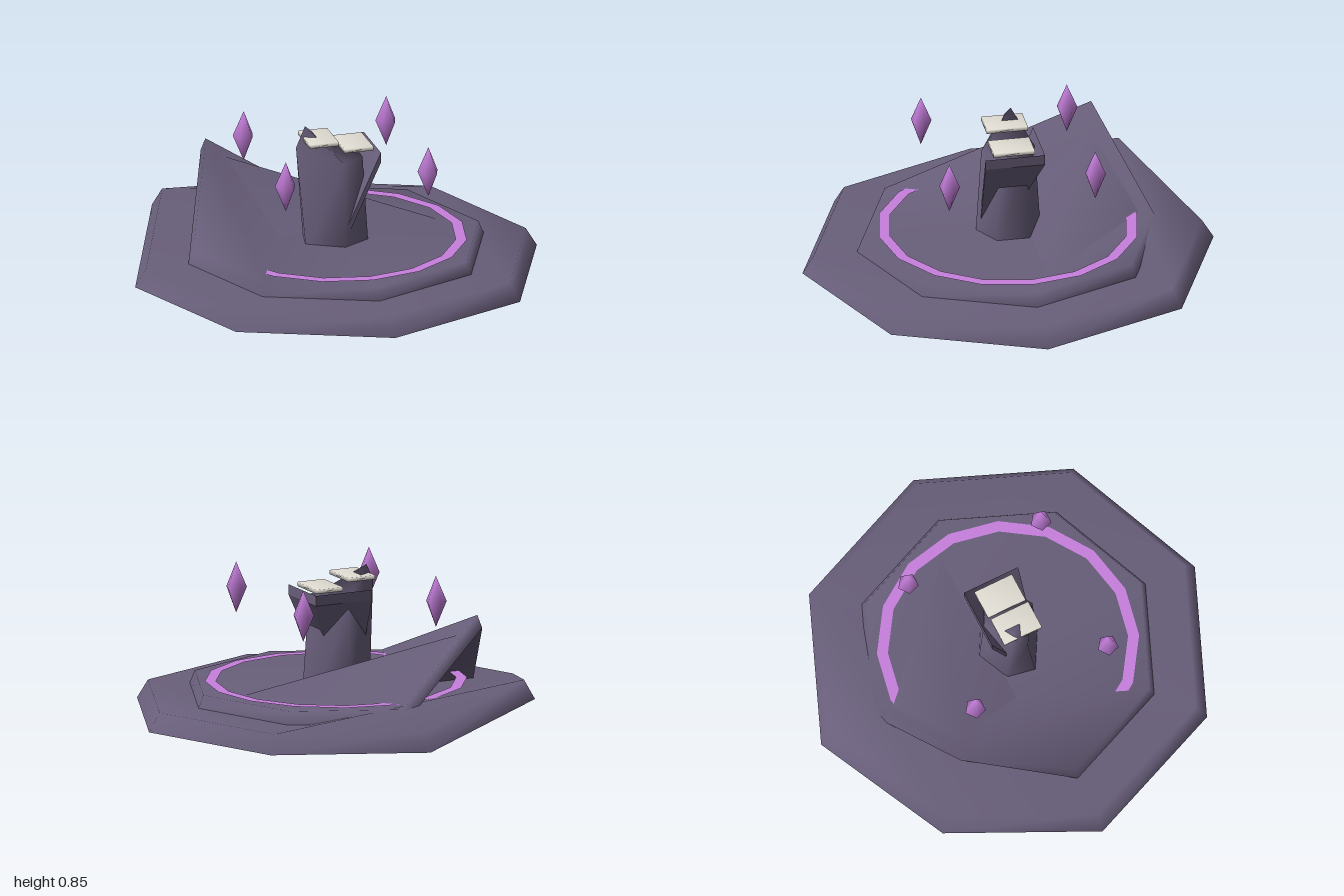
import * as THREE from 'three';
import { mergeVertices } from 'three/addons/utils/BufferGeometryUtils.js';

const mat = (name, color) =>
  new THREE.MeshStandardMaterial({ name, color, side: THREE.DoubleSide });

// Slab with n sides; corner 0 faces +z, corners run towards +x.
// top: corner triples of the upper face; the underside fans from corner 2
// moved: { corner: [bottom xyz offset, top xyz offset] }
function slab(n, rBottom, rTop, yBottom, yTop, top, moved) {
  const pos = [], index = [];
  // rows: side bottom, shared top rim, separate underside
  [[rBottom, yBottom, 0], [rTop, yTop, 1], [rBottom, yBottom, 0]].forEach(([r, y, level]) => {
    for (let i = 0; i < n; i++) {
      const a = i * 2 * Math.PI / n, d = moved[i] ? moved[i][level] : [0, 0, 0];
      pos.push(r * Math.sin(a) + d[0], y + d[1], r * Math.cos(a) + d[2]);
    }
  });
  for (let i = 0; i < n; i++) {
    const j = (i + 1) % n;
    index.push(i, j, j + n, i, j + n, i + n);
  }
  for (let k = 3; k < n + 1; k++) index.push(2 * n + 2, 2 * n + (k + 1) % n, 2 * n + k % n);
  for (const t of top) index.push(...t.map(i => i + n));
  const g = new THREE.BufferGeometry();
  g.setAttribute('position', new THREE.Float32BufferAttribute(pos, 3));
  g.setIndex(index);
  g.computeVertexNormals();
  return g;
}

// Rounded shading: weld all corners and average the normals
function smooth(geometry) {
  geometry.deleteAttribute('normal');
  geometry.deleteAttribute('uv');
  const g = mergeVertices(geometry, 1e-4);
  g.computeVertexNormals();
  return g;
}

export function createModel() {
  const group = new THREE.Group();
  const stone = mat('dark violet stone', 0x685e7a);
  const glow = mat('bright purple', 0xc67fdd);
  const paper = mat('pale paper', 0xe2ded4);

  const add = (name, geometry, material, x = 0, y = 0, z = 0) => {
    const m = new THREE.Mesh(geometry, material);
    m.name = name;
    m.position.set(x, y, z);
    group.add(m);
    return m;
  };
  const lift = h => [[0, h, 0], [0, h, 0]];

  // Two steps, each with its back corner heaved upwards
  const lowerTop = [[3, 4, 5], [3, 5, 6], [3, 6, 7], [3, 7, 0], [3, 0, 1], [3, 1, 2]];
  const upperTop = [[5, 6, 7], [4, 5, 7], [4, 7, 0], [4, 0, 1], [4, 1, 2], [4, 2, 3]];
  add('lowerStep', slab(8, 1, 0.945, 0.137, 0.228, lowerTop, { 5: lift(0.132) }), stone);
  add('upperStep', slab(8, 0.735, 0.71, 0.228, 0.29, upperTop, { 5: lift(0.37) }), stone);

  // Flat ring set into the upper step
  const ring = new THREE.RingGeometry(0.575, 0.628, 16);
  ring.rotateX(-Math.PI / 2);
  add('runeRing', ring, glow, 0, 0.296, 0);

  // Six-sided broken pillar with a raised jagged edge on one side
  const pillarTop = [[4, 5, 0], [3, 4, 0], [3, 0, 1], [3, 1, 2]];
  add('pillar', slab(6, 0.16, 0.13, 0.24, 0.71, pillarTop, {
    4: [[0, 0, 0], [-0.03, 0.143, 0.025]],
    5: [[-0.028, 0, -0.014], [-0.088, 0.055, -0.06]],
  }), stone);

  // Lectern top, one front corner dragged down into a spike
  const collar = new THREE.BoxGeometry(0.33, 0.05, 0.29);
  const p = collar.attributes.position;
  for (let i = 0; i < p.count; i++) {
    if (p.getX(i) > 0) continue;
    if (p.getZ(i) > 0) p.setXYZ(i, -0.15, p.getY(i) - 0.7, 0.13);
    else p.setX(i, -0.135);
  }
  // fold the underside along the dragged corner
  [12, 14, 15, 12, 15, 13].forEach((v, i) => collar.index.setX(18 + i, v));
  collar.computeVertexNormals();
  add('lecternTop', collar, stone, 0.016, 0.725, 0);

  // Open pages
  const page = smooth(new THREE.BoxGeometry(0.143, 0.02, 0.2));
  add('leftPage', page, paper, 0.085, 0.758, 0);
  add('rightPage', page, paper, -0.087, 0.799, 0);

  // Four floating crystals
  const profile = [[0, -0.125], [0.052, 0], [0, 0.125]].map(q => new THREE.Vector2(...q));
  const crystal = smooth(new THREE.LatheGeometry(profile, 5, Math.PI));
  for (const x of [-0.355, 0.355])
    for (const z of [-0.355, 0.355]) add('crystal', crystal, glow, x, 0.712, z);

  return group;
}
